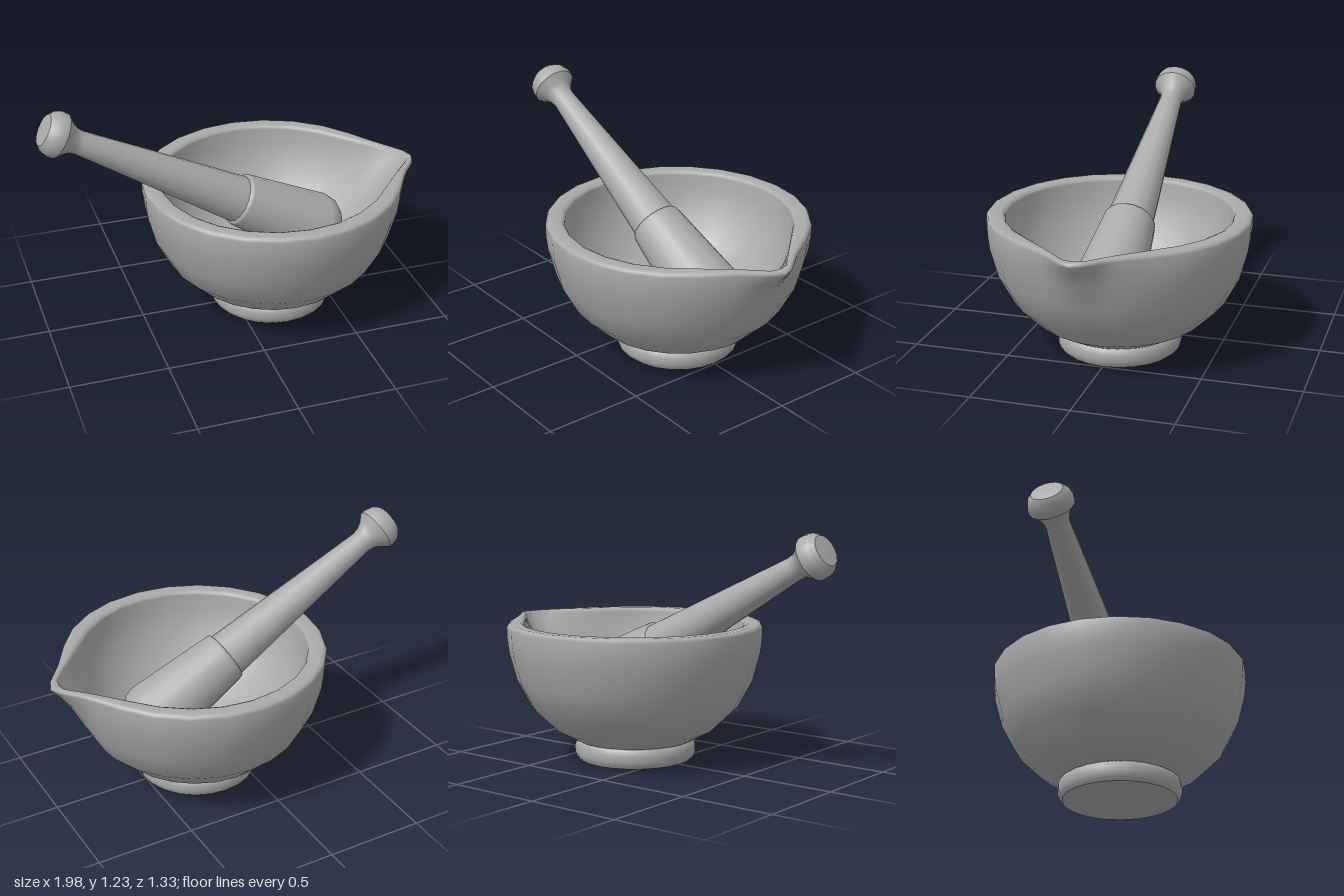
import * as THREE from 'three';

const stone = new THREE.MeshStandardMaterial({ color: 0xaaaaaa });
stone.name = 'grey stone';

const lathe = (name, points, segments) => {
  const profile = points.map(([r, y]) => new THREE.Vector2(r, y));
  const mesh = new THREE.Mesh(new THREE.LatheGeometry(profile, segments), stone);
  mesh.name = name;
  return mesh;
};

// Bowl radius at an angle (degrees from the spout); the spout swells towards the rim
const RIM = 0.7;
const outerRadius = (r, y, deg) => {
  const t = Math.max(0, (y - 0.42) / (RIM - 0.42));
  return r + 0.125 * t * t * Math.exp(-Math.pow(Math.abs(deg) / 12, 1.6));
};
const innerRadius = (r, y, deg) => {
  const a = THREE.MathUtils.degToRad(Math.abs(deg));
  const t = Math.max(0, (y - 0.25) / (RIM - 0.25));
  if (deg > 52 || deg < -52) return r;
  const line = 1 / (Math.cos(a) / 0.775 + Math.sin(a) / 0.85);
  return r + Math.max(0, Math.min(line, 0.735) - 0.57) * t * t;
};

function bowlGeometry() {
  const outer = [[0.29, 0.1], [0.31, 0.105], [0.42, 0.165], [0.54, 0.28], [0.615, 0.42], [0.655, 0.57], [0.663, 0.64], [0.665, RIM]];
  const lip = [[0.08, 0.713], [0.25, 0.72], [0.75, 0.72], [0.93, 0.712]];
  const inner = [[0.57, RIM], [0.565, 0.62], [0.53, 0.5], [0.45, 0.36], [0.33, 0.26], [0.17, 0.2], [0, 0.185]];
  // Regular steps, with finer ones around the spout
  const angles = [-11, -7.5, -4, 4, 7.5, 11];
  for (let d = -165; d <= 180; d += 15) angles.push(d);
  angles.sort((a, b) => a - b);

  const rows = [
    ...outer.map(([r, y]) => [y, (d) => outerRadius(r, y, d)]),
    ...lip.map(([k, y]) => [y, (d) => THREE.MathUtils.lerp(outerRadius(0.665, RIM, d), innerRadius(0.57, RIM, d), k)]),
    ...inner.map(([r, y]) => [y, (d) => innerRadius(r, y, d)]),
  ];
  const positions = [], index = [], n = angles.length;
  rows.forEach(([y, radius], i) => angles.forEach((d, j) => {
    const a = THREE.MathUtils.degToRad(d), r = radius(d);
    // The rim dips slightly at the tip of the spout
    const dip = y >= RIM ? 0.006 * Math.exp(-d * d / 100) : 0;
    positions.push(r * Math.cos(a), y - dip, r * Math.sin(a));
    if (i === rows.length - 1) return;
    const k = (j + 1) % n, p = i * n, q = p + n;
    index.push(p + j, q + j, p + k, q + j, q + k, p + k);
  }));
  const g = new THREE.BufferGeometry();
  g.setAttribute('position', new THREE.Float32BufferAttribute(positions, 3));
  g.setIndex(index);
  g.computeVertexNormals();
  return g;
}

export function createModel() {
  const model = new THREE.Group();
  model.name = 'mortarAndPestle';

  // Mortar
  const mortar = new THREE.Group();
  mortar.name = 'mortar';
  mortar.position.x = 0.2;
  const bowl = new THREE.Mesh(bowlGeometry(), stone);
  bowl.name = 'bowl';
  const foot = lathe('foot', [[0.295, 0], [0.31, 0.015], [0.318, 0.04], [0.318, 0.07], [0.31, 0.095], [0.295, 0.105]], 24);
  const base = new THREE.Mesh(new THREE.CircleGeometry(0.295, 24), stone);
  base.name = 'footBase';
  base.rotation.x = Math.PI / 2;
  mortar.add(bowl, foot, base);

  // Pestle, its knob end at the origin and its head hanging down before tilting
  const pestle = new THREE.Group();
  pestle.name = 'pestle';
  pestle.position.set(-0.952, 1.147, 0);
  pestle.rotation.z = THREE.MathUtils.degToRad(61);
  pestle.add(
    lathe('pestleHead', [[0, -1.72], [0.08, -1.71], [0.14, -1.68], [0.17, -1.64], [0.18, -1.59], [0.137, -1.13], [0.133, -1.115], [0.118, -1.11]], 20),
    lathe('pestleShaft', [[0.122, -1.115], [0.06, -0.19], [0.066, -0.155], [0.082, -0.125], [0.115, -0.088]], 16),
    lathe('pestleKnob', [[0.115, -0.088], [0.115, -0.06], [0.105, -0.025], [0.08, 0]], 16),
    lathe('pestleKnobEnd', [[0.08, 0], [0, 0.004]], 16),
  );

  model.add(mortar, pestle);
  return model;
}
